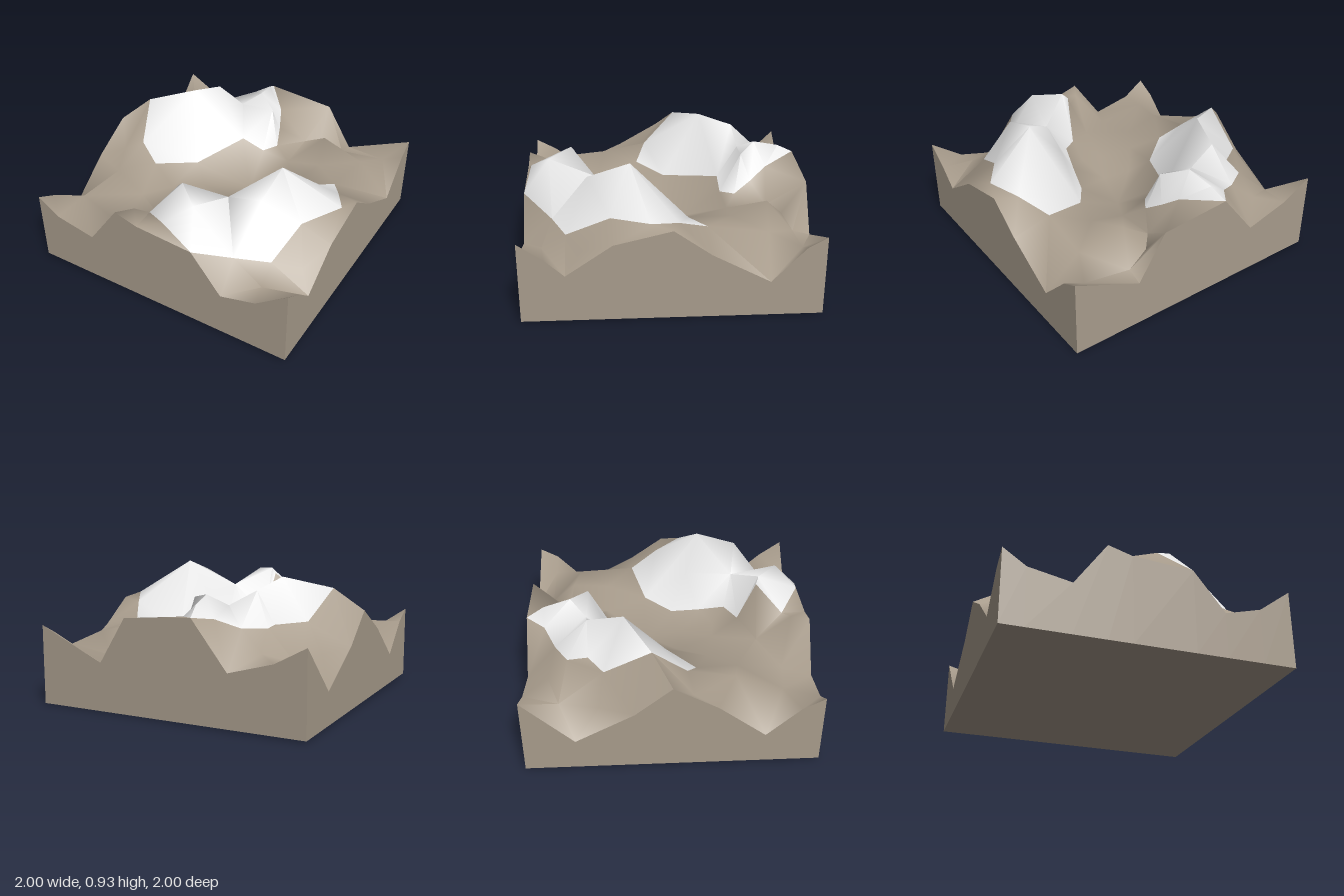
import * as THREE from 'three';
import { toCreasedNormals } from 'three/addons/utils/BufferGeometryUtils.js';

const rock = new THREE.MeshStandardMaterial({ color: 0xa89c8c });
rock.name = 'rock';
const snow = new THREE.MeshStandardMaterial({ color: 0xe6e6e6 });
snow.name = 'snow';

// Rim of the block, counter-clockwise seen from above: [position along the side, height]
const frontRim = [[-1, .55], [-.84, .44], [-.54, .38], [-.31, .7], [-.14, .65], [.29, .62], [.51, .34], [.77, .41]];
const rightRim = [[1, .58], [.83, .46], [.7, .34], [.39, .55], [0, .64], [-.25, .46], [-.64, .25], [-.87, .49]];
const backRim = [[1, .56], [.51, .34], [.31, .66], [-.2, .7], [-.46, .37], [-.78, .46]];
const leftRim = [[-1, .58], [-.65, .24], [-.25, .46], [0, .67], [.3, .5], [.62, .25], [.85, .47]];
const rim = [
  ...frontRim.map(([x, y]) => [x, y, 1]),
  ...rightRim.map(([z, y]) => [1, y, z]),
  ...backRim.map(([x, y]) => [x, y, -1]),
  ...leftRim.map(([z, y]) => [-1, y, z]),
];

// Outlines of the two snow fields
const backSnow = [[-.2, .7, -1], [-.3, .68, -.87], [-.45, .62, -.79], [-.6, .62, -.7], [-.58, .62, -.56],
  [-.77, .64, -.45], [-.82, .83, -.13], [-.73, .6, .11], [-.57, .5, .18], [-.32, .48, -.02],
  [-.15, .53, -.42], [.03, .48, -.42], [.1, .49, -.52], [.055, .57, -.64], [0, .66, -.76]];
const frontSnow = [[.72, .53, -.25], [.4, .45, -.15], [.26, .41, .05], [.2, .46, .25], [.14, .52, .44],
  [.02, .5, .53], [-.02, .82, .65], [-.15, .65, .83], [.05, .735, .96], [.29, .62, 1], [.49, .51, .8],
  [.72, .5, .7], [.78, .64, .4], [.95, .67, .14], [.84, .62, -.05]];

// Summits and saddles inside the snow
const ridges = [[-.52, .91, -.31], [-.14, .81, -.69], [-.25, .73, -.58], [-.45, .84, -.56],
  [.02, .77, -.57], [-.17, .765, -.88], [.35, .7, .17],
  [.55, .93, .26], [.55, .84, .55], [.27, .73, .5], [.2, .84, .82], [.02, .86, .67]];

// Valley floors and lower rocky slopes
const valleys = [[.07, .31, -.15], [-.2, .38, .08], [.02, .38, .1], [-.1, .42, .33], [.05, .43, .35],
  [-.19, .45, .65], [-.45, .4, .8], [-.48, .44, .48], [-.72, .54, .44], [-.8, .48, .75],
  [-.88, .51, .15], [-.35, .43, .28], [.5, .5, -.44], [.24, .44, -.44], [.42, .57, -.7], [.75, .49, -.66],
  [.24, .46, -.73], [.33, .43, -.83], [.5, .37, -.88], [.85, .42, -.87],
  [-.62, .48, -.84], [-.82, .42, -.76], [-.88, .43, -.48], [.9, .46, .6], [.74, .42, .86], [-.24, .68, .88]];

// Delaunay triangulation of the points in plan
function triangulate(points) {
  const p = [...points, [-900, 0, -800], [900, 0, -810], [7, 0, 1000]];
  const n = points.length;
  const makeTriangle = (a, b, c) => {
    const [ax, , az] = p[a], [bx, , bz] = p[b], [cx, , cz] = p[c];
    const d = 2 * ((bx - ax) * (cz - az) - (bz - az) * (cx - ax));
    if (Math.abs(d) < 1e-9) return { v: [a, b, c], x: 0, z: 0, r: Infinity };
    const b2 = (bx - ax) ** 2 + (bz - az) ** 2, c2 = (cx - ax) ** 2 + (cz - az) ** 2;
    const ux = ((cz - az) * b2 - (bz - az) * c2) / d, uz = ((bx - ax) * c2 - (cx - ax) * b2) / d;
    return { v: d < 0 ? [a, b, c] : [a, c, b], x: ax + ux, z: az + uz, r: ux * ux + uz * uz, area: Math.abs(d) };
  };
  let triangles = [makeTriangle(n, n + 1, n + 2)];
  for (let i = 0; i < n; i++) {
    const edges = new Map();
    triangles = triangles.filter((t) => {
      if ((p[i][0] - t.x) ** 2 + (p[i][2] - t.z) ** 2 >= t.r) return true;
      t.v.forEach((a, k) => {
        const b = t.v[(k + 1) % 3];
        if (!edges.delete(`${b},${a}`)) edges.set(`${a},${b}`, [a, b]);
      });
      return false;
    });
    for (const [a, b] of edges.values()) triangles.push(makeTriangle(a, b, i));
  }
  return triangles.filter((t) => t.area > 1e-5 && t.v.every((k) => k < n)).map((t) => t.v);
}

function inside(outline, x, z) {
  let hit = false;
  outline.forEach(([ax, , az], i) => {
    const [bx, , bz] = outline[(i + 1) % outline.length];
    if ((az > z) !== (bz > z) && x < ax + (bx - ax) * (z - az) / (bz - az)) hit = !hit;
  });
  return hit;
}

function geometryFrom(corners) {
  const geometry = new THREE.BufferGeometry();
  geometry.setAttribute('position', new THREE.Float32BufferAttribute(corners.flat(), 3));
  geometry.computeVertexNormals();
  return geometry;
}

// Mountain surface: rock triangles first, then snow
function terrainGeometry() {
  const unique = new Map();
  for (const p of [...rim, ...backSnow, ...frontSnow, ...ridges, ...valleys]) unique.set(`${p[0]},${p[2]}`, p);
  const points = [...unique.values()];
  const parts = [[], []];
  for (const v of triangulate(points)) {
    const [a, b, c] = v.map((k) => points[k]);
    const x = (a[0] + b[0] + c[0]) / 3, z = (a[2] + b[2] + c[2]) / 3;
    parts[inside(backSnow, x, z) || inside(frontSnow, x, z) ? 1 : 0].push(a, b, c);
  }
  const geometry = toCreasedNormals(geometryFrom(parts.flat()), 1.35);
  geometry.clearGroups();
  geometry.addGroup(0, parts[0].length, 0);
  geometry.addGroup(parts[0].length, parts[1].length, 1);
  return geometry;
}

// Slightly tilted underside
const floorPoint = (x, z) => [x, .012 - .005 * x + .007 * z, z];

function wallGeometry() {
  const corners = [];
  rim.forEach((a, i) => {
    const b = rim[(i + 1) % rim.length];
    const a0 = floorPoint(a[0], a[2]), b0 = floorPoint(b[0], b[2]);
    corners.push(a0, b0, b, a0, b, a);
  });
  return geometryFrom(corners);
}

function baseGeometry() {
  const [a, b, c, d] = [[-1, 1], [-1, -1], [1, -1], [1, 1]].map(([x, z]) => floorPoint(x, z));
  return geometryFrom([a, b, c, a, c, d]);
}

export function createModel() {
  const group = new THREE.Group();
  group.name = 'mountainBlock';
  const add = (name, geometry, material) => {
    const mesh = new THREE.Mesh(geometry, material);
    mesh.name = name;
    group.add(mesh);
  };
  add('mountainSurface', terrainGeometry(), [rock, snow]);
  add('sideWalls', wallGeometry(), rock);
  add('base', baseGeometry(), rock);
  return group;
}
